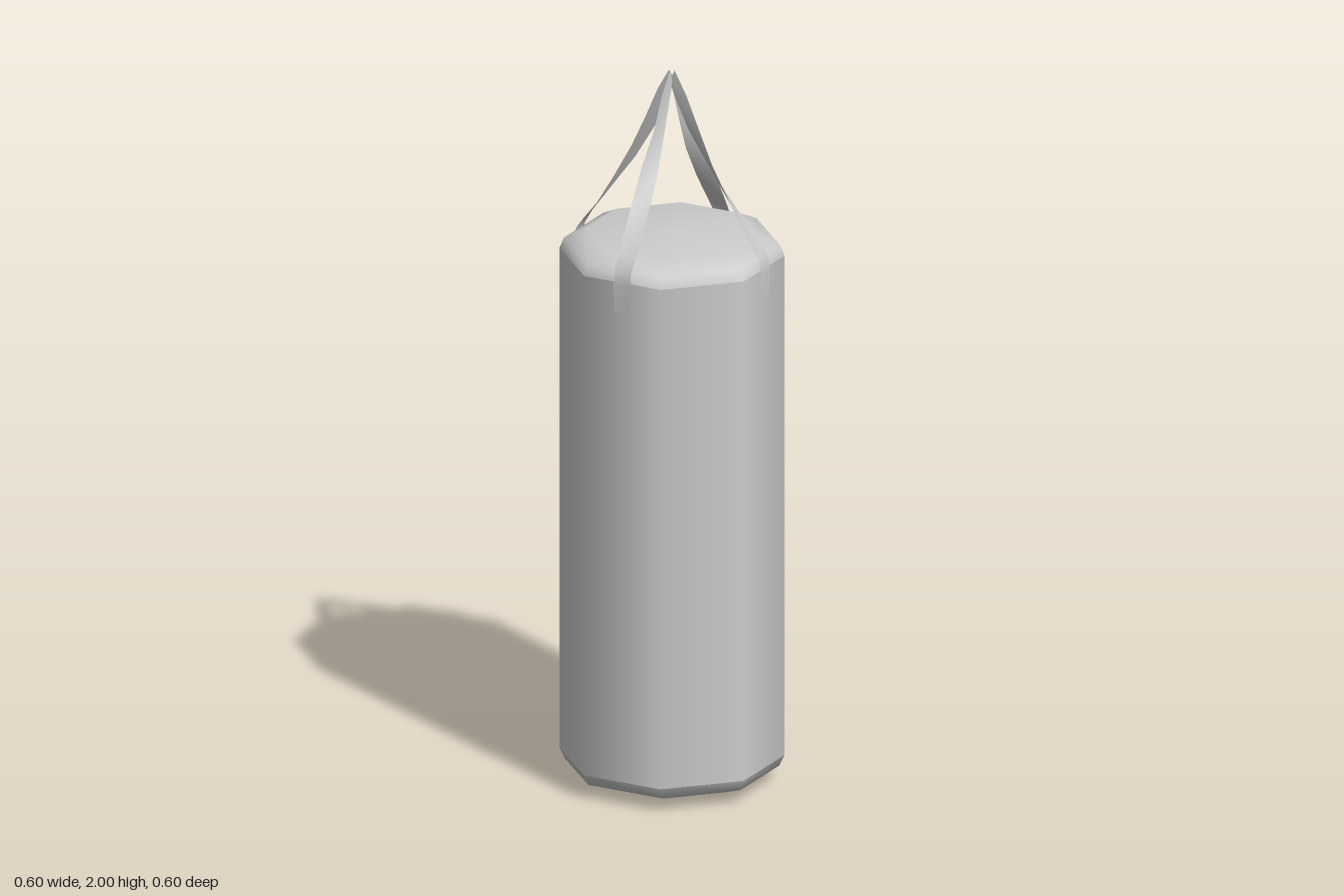
import * as THREE from 'three';

const SIDES = 8;
const grey = new THREE.MeshStandardMaterial({ color: 0xcccccc });
const greyThin = new THREE.MeshStandardMaterial({ color: 0xcccccc, side: THREE.DoubleSide });

// Turned part with eight sides; profile given as [radius, height], bottom to top
function turned(name, profile) {
  const points = profile.map(([r, y]) => new THREE.Vector2(r, y));
  const mesh = new THREE.Mesh(new THREE.LatheGeometry(points, SIDES), grey);
  mesh.name = name;
  return mesh;
}

// Strap rows: two edges, each [radial, height, sideways]; the band twists on edge towards the top
const strapRows = [
  [[0.279, 1.40, -0.025], [0.279, 1.40, 0.025]],
  [[0.282, 1.48, -0.025], [0.282, 1.48, 0.025]],
  [[0.277, 1.515, -0.025], [0.277, 1.515, 0.025]],
  [[0.252, 1.55, -0.025], [0.254, 1.555, 0.025]],
  [[0.176, 1.645, -0.021], [0.190, 1.66, 0.024]],
  [[0.103, 1.745, -0.013], [0.133, 1.76, 0.021]],
  [[0.048, 1.84, -0.003], [0.084, 1.855, 0.009]],
  [[0.006, 1.935, 0.001], [0.046, 1.94, 0.006]],
  [[-0.008, 1.975, 0], [0.010, 2.0, 0.002]],
];

function strapGeometry() {
  const positions = [];
  const index = [];
  strapRows.forEach((row, i) => {
    for (const [r, y, t] of row) positions.push(r, y, t);
    if (i > 0) {
      const a = (i - 1) * 2;
      index.push(a, a + 2, a + 1, a + 1, a + 2, a + 3);
    }
  });
  const geometry = new THREE.BufferGeometry();
  geometry.setAttribute('position', new THREE.Float32BufferAttribute(positions, 3));
  geometry.setIndex(index);
  geometry.computeVertexNormals();
  return geometry;
}

export function createModel() {
  const model = new THREE.Group();
  model.name = 'hangingBag';

  // Bag body: straight side with softly rounded caps
  model.add(turned('bagSide', [[0.301, 0.075], [0.301, 1.487]]));
  model.add(turned('bagTop', [[0.301, 1.487], [0.289, 1.517], [0.23, 1.545], [0.05, 1.555], [0, 1.555]]));
  model.add(turned('bagBottom', [[0, 0.005], [0.05, 0.006], [0.22, 0.02], [0.287, 0.045], [0.301, 0.075]]));

  // Four straps, one on the middle of every second face, meeting above the bag
  const straps = new THREE.Group();
  straps.name = 'straps';
  const geometry = strapGeometry();
  for (let i = 0; i < 4; i++) {
    const strap = new THREE.Mesh(geometry, greyThin);
    strap.name = `strap${i + 1}`;
    strap.rotation.y = -(Math.PI / 8 + (i * Math.PI) / 2);
    straps.add(strap);
  }
  model.add(straps);
  return model;
}
